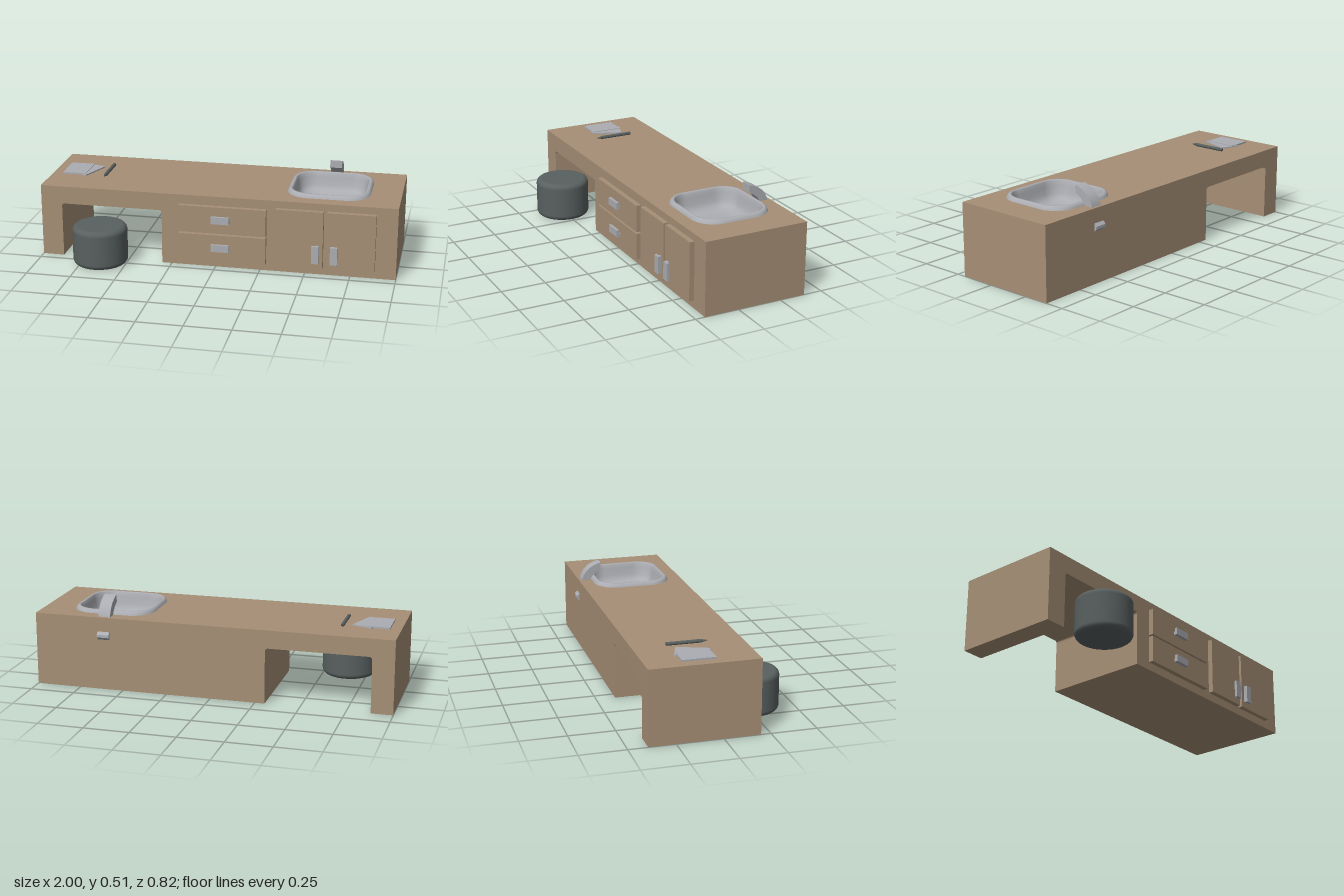
import * as THREE from 'three';

const mat = (name, color, extra = {}) => new THREE.MeshStandardMaterial({ name, color, ...extra });

export function createModel() {
  const wood = mat('wood', 0xa68f76);
  const metal = mat('pale metal', 0xabadb2);
  const bowlMetal = metal;
  const dark = mat('dark grey', 0x596060);
  const model = new THREE.Group();
  model.name = 'counter';

  const add = (name, geometry, material, parent = model) => {
    const mesh = new THREE.Mesh(geometry, material);
    mesh.name = name;
    parent.add(mesh);
    return mesh;
  };
  // Box given by its limits on each axis
  const box = (name, x0, x1, y0, y1, z0, z1, material, parent) => {
    const g = new THREE.BoxGeometry(x1 - x0, y1 - y0, z1 - z0);
    g.translate((x0 + x1) / 2, (y0 + y1) / 2, (z0 + z1) / 2);
    return add(name, g, material, parent);
  };
  const extrude = (shape, depth) =>
    new THREE.ExtrudeGeometry(shape, { depth, bevelEnabled: false, curveSegments: 12 });
  // Outline of a rounded rectangle, anticlockwise from +x
  const roundedLoop = (hx, hz, r, steps = 10) => {
    const pts = [];
    [[1, 1], [-1, 1], [-1, -1], [1, -1]].forEach(([sx, sz], q) => {
      for (let i = 0; i <= steps; i++) {
        const a = (q + i / steps) * Math.PI / 2;
        pts.push(new THREE.Vector2(sx * (hx - r) + r * Math.cos(a), sz * (hz - r) + r * Math.sin(a)));
      }
    });
    return pts;
  };

  const BACK = -0.395, FRONT = 0.197, TOP = 0.41, UNDER = 0.31;
  const SINK_X = 0.6, SINK_Z = -0.1;

  // Worktop slab with an opening for the basin
  const slab = new THREE.Shape([[-1, -FRONT], [1, -FRONT], [1, -BACK], [-1, -BACK]]
    .map(([x, y]) => new THREE.Vector2(x, y)));
  slab.holes.push(new THREE.Path(roundedLoop(0.21, 0.2, 0.11)
    .map(p => new THREE.Vector2(p.x + SINK_X, p.y - SINK_Z)).reverse()));
  const slabGeo = extrude(slab, TOP - UNDER);
  slabGeo.rotateX(-Math.PI / 2).translate(0, UNDER, 0);
  add('worktop', slabGeo, wood);

  // Leg and cabinet body, with small fillets at the top of the knee space
  const support = (name, outer, inner, dir) => {
    const f = 0.018, s = new THREE.Shape();
    s.moveTo(outer, 0);
    s.lineTo(inner, 0);
    s.lineTo(inner, UNDER - f);
    s.quadraticCurveTo(inner, UNDER, inner + dir * f, UNDER);
    s.lineTo(outer, UNDER);
    const g = extrude(s, FRONT - BACK);
    g.translate(0, 0, BACK);
    add(name, g, wood);
  };
  support('sideLeg', -1, -0.88, 1);
  support('cabinetBody', 1, -0.305, -1);

  // Drawers with L-shaped pulls
  const FACE = 0.225, GRIP = 0.232, OUT = 0.247;
  for (const [y0, y1, h] of [[0.205, 0.358, 0.268], [0.045, 0.195, 0.105]]) {
    const drawer = new THREE.Group();
    drawer.name = 'drawer';
    model.add(drawer);
    box('drawerFront', -0.205, 0.285, y0, y1, FRONT, FACE, wood, drawer);
    box('drawerPullStem', -0.018, 0.083, h, h + 0.02, FACE, GRIP, metal, drawer);
    box('drawerPull', -0.018, 0.083, h, h + 0.04, GRIP, OUT, metal, drawer);
  }

  // Cabinet doors with upright pulls, stem on the side of the door gap
  for (const [x0, x1, hx, sx] of [[0.335, 0.6, 0.54, 0.56], [0.62, 0.885, 0.642, 0.642]]) {
    const door = new THREE.Group();
    door.name = 'door';
    model.add(door);
    box('doorFront', x0, x1, 0.045, 0.37, FRONT, FACE, wood, door);
    box('doorPullStem', sx, sx + 0.02, 0.078, 0.178, FACE, GRIP, metal, door);
    box('doorPull', hx, hx + 0.04, 0.078, 0.178, GRIP, OUT, metal, door);
  }

  // Basin: rounded loops from the outer rim over the lip and down to the floor
  const rings = [
    [0.23, 0.22, 0.125, 0.41], [0.225, 0.215, 0.122, 0.42], [0.217, 0.207, 0.115, 0.427],
    [0.208, 0.198, 0.108, 0.428], [0.202, 0.192, 0.102, 0.422], [0.196, 0.186, 0.098, 0.4],
    [0.188, 0.178, 0.092, 0.36], [0.175, 0.165, 0.085, 0.332], [0.15, 0.14, 0.075, 0.318],
    [0.1, 0.09, 0.05, 0.314],
  ];
  const pos = [], idx = [];
  let n = 0;
  rings.forEach(([hx, hz, r, y], k) => {
    const loop = roundedLoop(hx, hz, r);
    n = loop.length;
    loop.forEach((p, i) => {
      // The lip rises slightly towards the corners
      const lift = k > 0 && k < 5 ? 0.005 * Math.abs(p.x * p.y) / (hx * hz) : 0;
      pos.push(p.x + SINK_X, y + lift, p.y + SINK_Z);
      if (k < rings.length - 1) {
        const a = k * n + i, c = k * n + (i + 1) % n;
        idx.push(a, a + n, c, c, a + n, c + n);
      }
    });
  });
  const last = (rings.length - 1) * n;
  pos.push(SINK_X, 0.313, SINK_Z);
  for (let i = 0; i < n; i++) idx.push(last + i, last + n, last + (i + 1) % n);
  const basin = new THREE.BufferGeometry();
  basin.setAttribute('position', new THREE.Float32BufferAttribute(pos, 3));
  basin.setIndex(idx);
  basin.computeVertexNormals();
  add('basin', basin, bowlMetal);

  // Side profile in (z, y), given a width across x
  const acrossX = (shape, x, w) => {
    const g = extrude(shape, w);
    return g.rotateY(-Math.PI / 2).translate(x + w / 2, 0, 0);
  };

  // Curved spout
  const spout = new THREE.Shape();
  spout.moveTo(-0.265, 0.511);
  spout.bezierCurveTo(-0.325, 0.497, -0.365, 0.465, -0.38, 0.405);
  spout.lineTo(-0.333, 0.405);
  spout.bezierCurveTo(-0.32, 0.435, -0.295, 0.455, -0.265, 0.468);
  add('spout', acrossX(spout, 0.605, 0.068), metal);

  // Pipe stub on the back
  const stub = new THREE.Shape([[-0.39, 0.335], [-0.41, 0.315], [-0.41, 0.3], [-0.39, 0.28]]
    .map(([z, y]) => new THREE.Vector2(z, y)));
  add('pipeStub', acrossX(stub, 0.605, 0.068), metal);

  // Padded stool
  const R = 0.153, e = 0.03, H0 = 0.002, H1 = 0.226;
  const profile = [new THREE.Vector2(0, H0)];
  for (let i = 0; i <= 6; i++) {
    const a = -Math.PI / 2 + i * Math.PI / 12;
    profile.push(new THREE.Vector2(R - e + e * Math.cos(a), H0 + e + e * Math.sin(a)));
  }
  for (let i = 0; i <= 6; i++) {
    const a = i * Math.PI / 12;
    profile.push(new THREE.Vector2(R - e + e * Math.cos(a), H1 - e + e * Math.sin(a)));
  }
  profile.push(new THREE.Vector2(0, H1));
  add('stool', new THREE.LatheGeometry(profile, 40), dark).position.set(-0.645, 0, 0.257);

  // Two overlapping sheets
  box('notepad', -0.94, -0.805, TOP, 0.42, -0.205, -0.025, metal);
  const sheet = add('looseSheet', new THREE.BoxGeometry(0.115, 0.007, 0.18), metal);
  sheet.position.set(-0.82, TOP + 0.0035, -0.115);
  sheet.rotation.y = -0.36;

  // Pencil with its point towards the front
  const pencilProfile = [[0, -0.11], [0.01, -0.11], [0.01, 0.075], [0.001, 0.11], [0, 0.11]]
    .map(([r, y]) => new THREE.Vector2(r, y));
  const pencil = add('pencil', new THREE.LatheGeometry(pencilProfile, 8), dark);
  pencil.rotation.x = Math.PI / 2;
  pencil.position.set(-0.687, TOP + 0.01, -0.105);

  return model;
}
